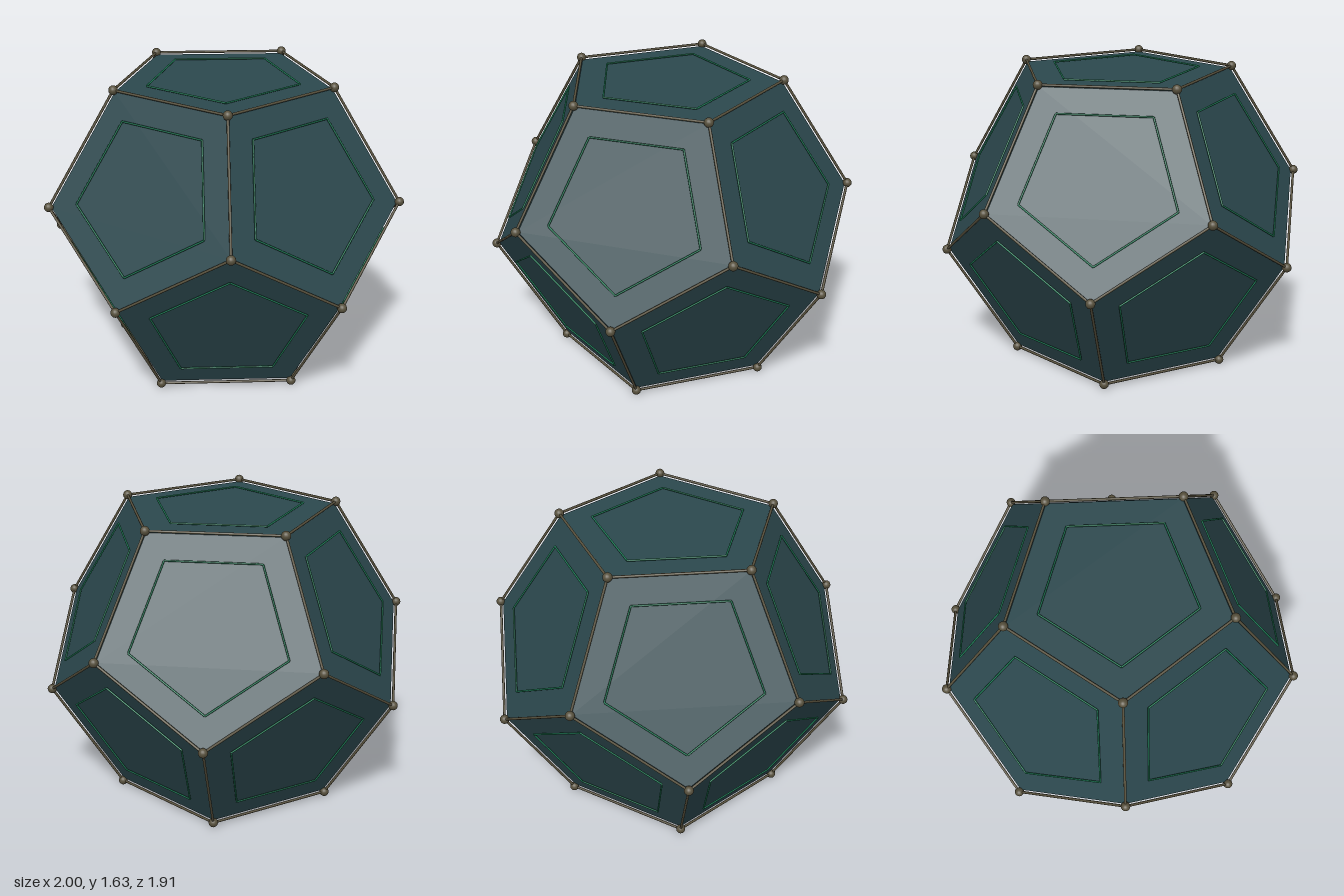
import * as THREE from 'three';
import { ConvexGeometry } from 'three/addons/geometries/ConvexGeometry.js';

const R = 0.993;          // radius through the corners
const BEAD = 0.025;
const IN = 0.7947 * R;    // centre to face

// One level ring of five points, starting at the given angle.
function ring(radius, y, start) {
  return Array.from({ length: 5 }, (_, k) => {
    const a = start + (k * Math.PI * 2) / 5;
    return new THREE.Vector3(Math.cos(a) * radius, y, Math.sin(a) * radius);
  });
}

export function createModel() {
  const shellMat = new THREE.MeshStandardMaterial({ color: 0x2c484e });
  shellMat.name = 'darkTeal';
  const bronzeMat = new THREE.MeshStandardMaterial({ color: 0x57503c });
  bronzeMat.name = 'bronze';
  const greenMat = new THREE.MeshStandardMaterial({ color: 0x1f7a56 });
  greenMat.name = 'green';

  const model = new THREE.Group();
  model.name = 'dodecahedron';
  const solid = new THREE.Group();
  solid.name = 'solid';
  solid.position.y = IN + BEAD;
  model.add(solid);

  const group = (name) => {
    const g = new THREE.Group();
    g.name = name;
    solid.add(g);
    return g;
  };

  // Thin round bar between two points.
  const up = new THREE.Vector3(0, 1, 0);
  function bar(parent, name, a, b, radius, mat) {
    const dir = b.clone().sub(a);
    const mesh = new THREE.Mesh(new THREE.CylinderGeometry(radius, radius, dir.length(), 8), mat);
    mesh.name = name;
    mesh.position.copy(a).add(b).multiplyScalar(0.5);
    mesh.quaternion.setFromUnitVectors(up, dir.normalize());
    parent.add(mesh);
  }

  // Corners, with a face flat on the ground
  const half = [...ring(0.607 * R, IN, Math.PI), ...ring(0.9822 * R, 0.1876 * R, Math.PI)];
  const corners = [...half, ...half.map((v) => v.clone().negate())];

  // Shell, slightly inside the frame
  const shell = new THREE.Mesh(new ConvexGeometry(corners.map((v) => v.clone().multiplyScalar(0.986))), shellMat);
  shell.name = 'shell';
  solid.add(shell);

  // Frame of bars and corner beads
  const frame = group('edgeFrame');
  const beads = group('cornerBeads');
  const beadGeo = new THREE.SphereGeometry(BEAD, 16, 12);
  corners.forEach((a, i) => {
    const bead = new THREE.Mesh(beadGeo, bronzeMat);
    bead.name = 'cornerBead';
    bead.position.copy(a);
    beads.add(bead);
    corners.slice(i + 1).forEach((b) => {
      if (a.distanceTo(b) < 0.8 * R) bar(frame, 'edgeBar', a, b, 0.007, bronzeMat);
    });
  });

  // Green pentagon outline on each face
  const outlines = group('faceOutlines');
  const upper = [up.clone(), ...ring(0.8944, 0.4472, 0)];
  const normals = [...upper, ...upper.map((n) => n.clone().negate())];
  normals.forEach((n) => {
    const centre = n.clone().multiplyScalar(IN + 0.002);
    const pts = corners
      .filter((v) => v.dot(n) > IN * 0.95)
      .map((v) => v.clone().addScaledVector(n, 0.002).lerp(centre, 0.3));
    const side = 0.7 * 0.7136 * R;
    pts.forEach((a, i) => pts.slice(i + 1).forEach((b) => {
      if (a.distanceTo(b) < side * 1.2) bar(outlines, 'outlineBar', a, b, 0.005, greenMat);
    }));
  });

  return model;
}
